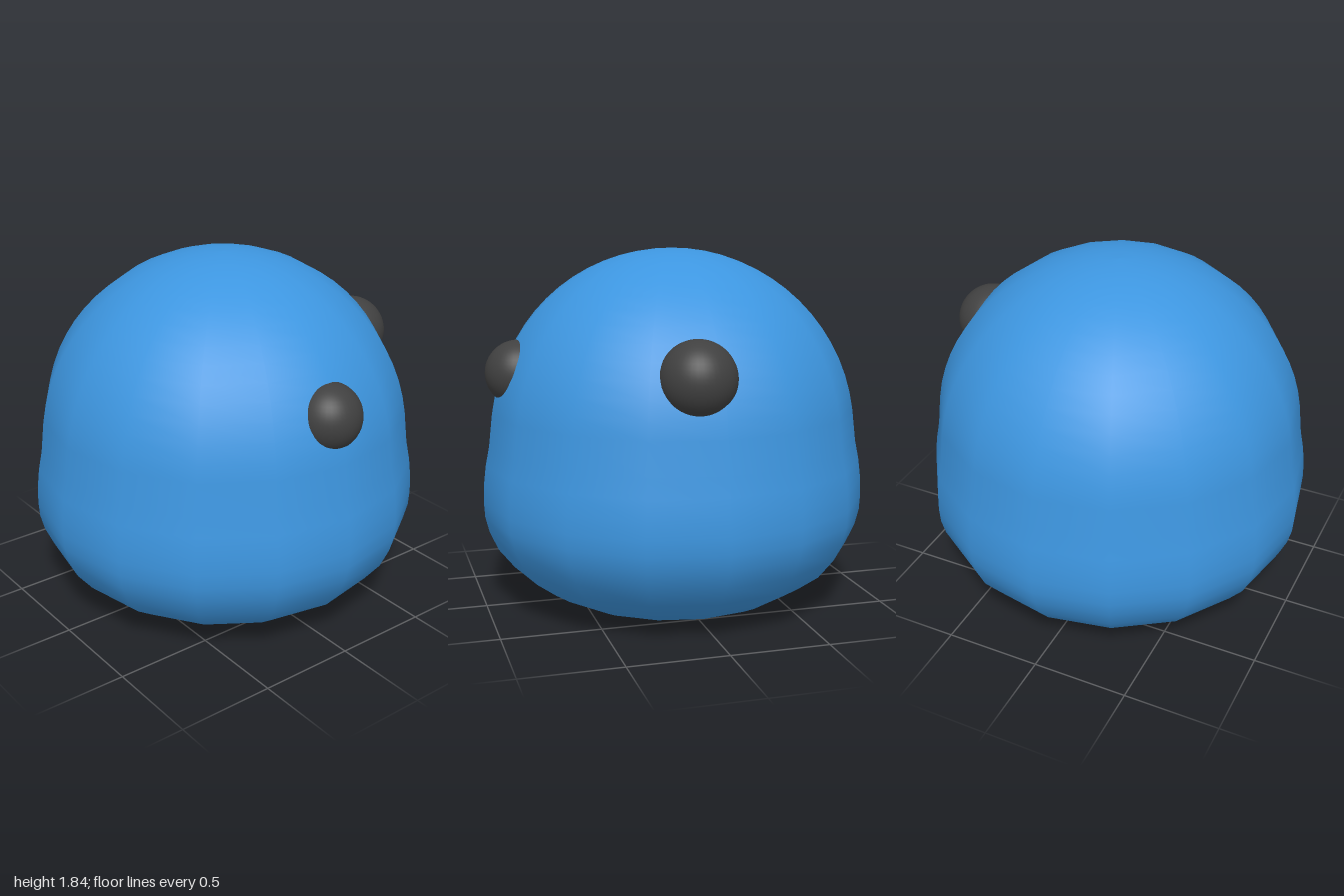
import * as THREE from 'three';

const SIDES = 16;

function lathe(name, points, material) {
  const profile = points.map(([r, y]) => new THREE.Vector2(r, y));
  const mesh = new THREE.Mesh(new THREE.LatheGeometry(profile, SIDES), material);
  mesh.name = name;
  return mesh;
}

export function createModel() {
  const group = new THREE.Group();
  const blue = new THREE.MeshStandardMaterial({ color: 0x3d96e0 });
  const dark = new THREE.MeshStandardMaterial({ color: 0x404040 });

  // Rounded lower bulge, then a slight waist
  const profile = [
    [0.585, 0.035], [0.66, 0.07], [0.74, 0.12], [0.85, 0.2], [0.93, 0.3],
    [0.975, 0.4], [0.995, 0.48], [1, 0.56], [0.997, 0.65], [0.985, 0.75],
    [0.965, 0.85],
  ];
  // Domed top, from just above the waist to the crown
  const radius = 0.955, centreY = 0.885;
  for (let i = 1; i <= 16; i++) {
    const a = THREE.MathUtils.lerp(0.04, Math.PI / 2, i / 16);
    profile.push([i === 16 ? 0 : radius * Math.cos(a), centreY + radius * Math.sin(a)]);
  }
  group.add(lathe('body', profile, blue));

  // Flat underside with a shallow bump in the middle
  group.add(lathe('base', [
    [0, 0.003], [0.07, 0.007], [0.15, 0.018], [0.24, 0.027], [0.4, 0.03], [0.54, 0.03], [0.585, 0.035],
  ], blue));

  // Two round eyes, half sunk into the dome
  const eyes = [
    ['leftEye', 0.168, [0.807, 1.222, 0]],
    ['backEye', 0.186, [0.1, 1.276, -0.798]],
  ];
  for (const [name, r, position] of eyes) {
    const eye = new THREE.Mesh(new THREE.SphereGeometry(r, 40, 24), dark);
    eye.name = name;
    eye.position.set(...position);
    group.add(eye);
  }
  return group;
}
